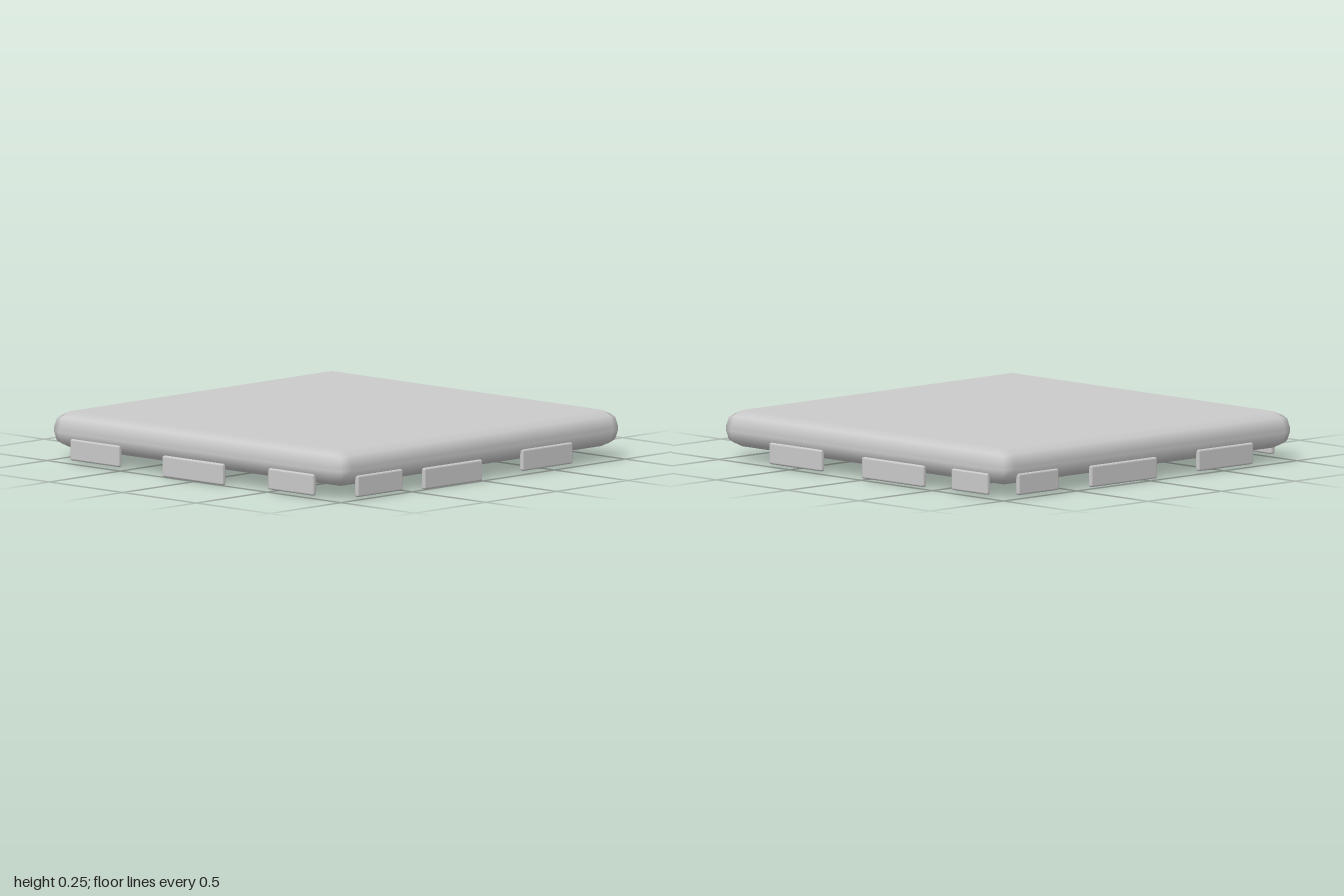
import * as THREE from 'three';
import { RoundedBoxGeometry } from 'three/addons/geometries/RoundedBoxGeometry.js';

const TAB_HEIGHT = 0.106, TAB_THICKNESS = 0.026;

// Tabs hanging from each edge: [start, end, bottom] along x (front, back) or z (left, right)
const TABS = {
  front: [[-0.88, -0.56, 0.018], [-0.41, 0, 0.005], [0.28, 0.635, 0.022]],
  back: [[-0.705, -0.33, 0.018], [-0.05, 0.4, 0.012], [0.62, 0.895, 0.022]],
  left: [[-0.885, -0.63, 0.022], [-0.435, 0, 0.014], [0.28, 0.65, 0.018]],
  right: [[-0.845, -0.51, 0.022], [-0.22, 0.195, 0.005], [0.5, 0.81, 0.018]],
};

export function createModel() {
  const model = new THREE.Group();
  model.name = 'softEdgedTile';
  const material = new THREE.MeshStandardMaterial({ color: 0xcccccc });

  const addBox = (parent, name, size, position, radius) => {
    const mesh = new THREE.Mesh(new RoundedBoxGeometry(...size, 1, radius), material);
    mesh.name = name;
    mesh.position.set(...position);
    parent.add(mesh);
  };

  // Square slab with broad rounded edges
  addBox(model, 'slab', [2, 0.18, 2], [0, 0.16, 0], 0.083);

  // Thin tabs flush with the outer faces of the slab
  for (const [side, tabs] of Object.entries(TABS)) {
    const group = new THREE.Group();
    group.name = `${side}Tabs`;
    const offset = (side === 'front' || side === 'left' ? 1 : -1) * (1 - TAB_THICKNESS / 2);
    const alongX = side === 'front' || side === 'back';
    tabs.forEach(([start, end, bottom], i) => {
      const length = end - start, middle = (start + end) / 2, y = bottom + TAB_HEIGHT / 2;
      addBox(group, `${side}Tab${i + 1}`,
        alongX ? [length, TAB_HEIGHT, TAB_THICKNESS] : [TAB_THICKNESS, TAB_HEIGHT, length],
        alongX ? [middle, y, offset] : [offset, y, middle], 0.01);
    });
    model.add(group);
  }
  return model;
}
